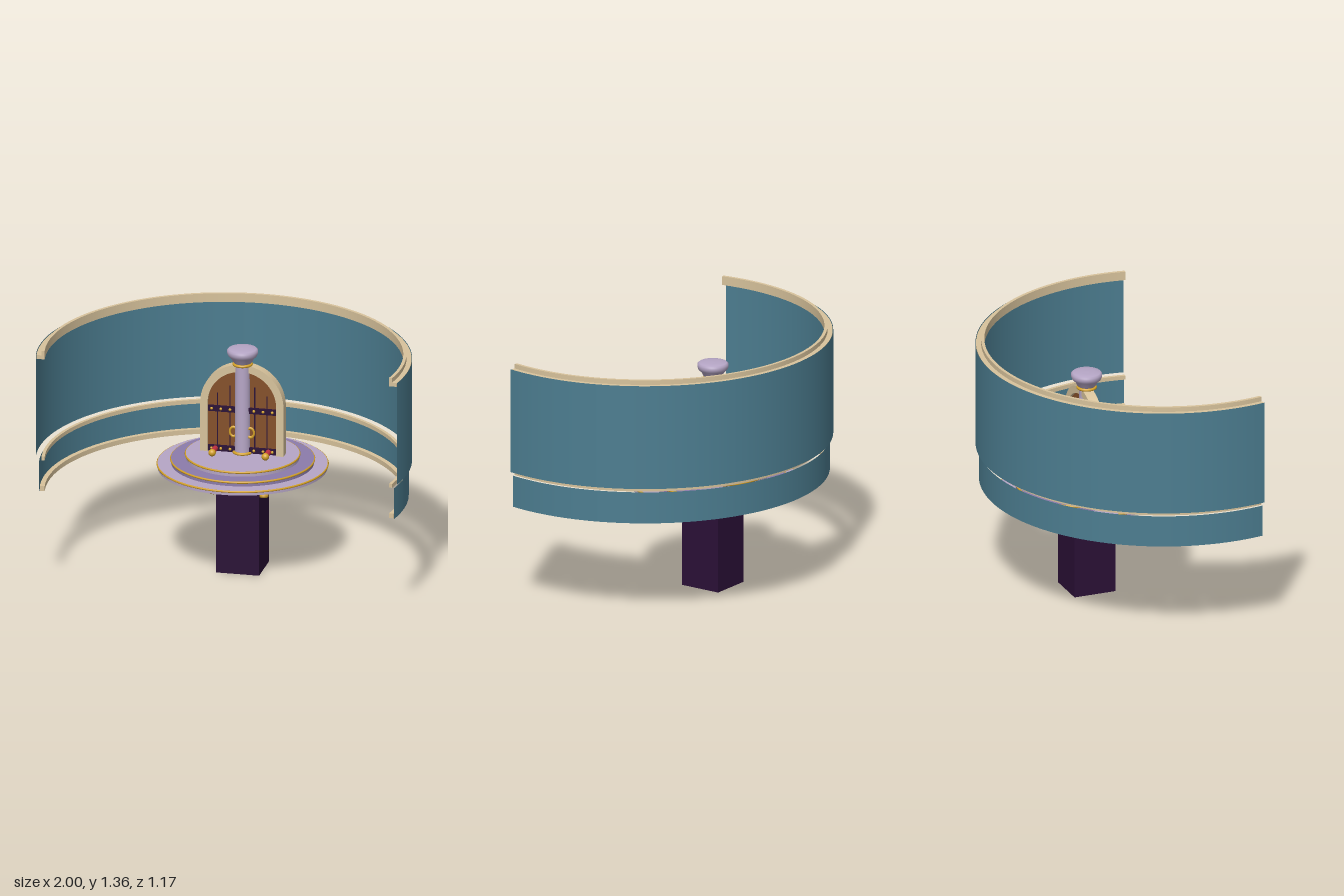
import * as THREE from 'three';

const mat = (name, color, side = THREE.FrontSide) => {
  const m = new THREE.MeshStandardMaterial({ color, side });
  m.name = name;
  return m;
};

export function createModel() {
  const teal = mat('teal', 0x4c7d90, THREE.DoubleSide);
  const cream = mat('cream', 0xd8c39c);
  const lilac = mat('lilac', 0xb6a6c6);
  const purple = mat('purple', 0x8c7cab);
  const gold = mat('gold', 0xd4a128, THREE.DoubleSide);
  const brown = mat('brown', 0x85502a);
  const dark = mat('dark plum', 0x2a1036);
  const red = mat('red', 0xc23040, THREE.DoubleSide);

  const model = new THREE.Group();
  model.name = 'doorPavilion';
  const add = (name, geometry, material, x = 0, y = 0, z = 0) => {
    const mesh = new THREE.Mesh(geometry, material);
    mesh.name = name;
    mesh.position.set(x, y, z);
    model.add(mesh);
    return mesh;
  };
  const box = (name, w, h, d, material, x, y, z) =>
    add(name, new THREE.BoxGeometry(w, h, d), material, x, y, z);
  const lathe = (name, pts, material, x, y, z) =>
    add(name, new THREE.LatheGeometry(pts.map(p => new THREE.Vector2(...p)), 48), material, x, y, z);

  // Curved wall: two open shells, 200 degrees around the back
  const wallZ = 0.413, over = Math.PI / 18, sweep = Math.PI + 2 * over;
  const shell = (name, r, y0, y1) => add(name,
    new THREE.CylinderGeometry(r, r, y1 - y0, 96, 1, true, Math.PI / 2 - over, sweep),
    teal, 0, (y0 + y1) / 2, wallZ);
  shell('upperWall', 1, 0.76, 1.333);
  shell('lowerWall', 0.982, 0.563, 0.736);

  // Cream mouldings follow the same arc
  const moulding = (name, rIn, rOut, y0, y1) => {
    const s = new THREE.Shape();
    s.absarc(0, 0, rOut, -over, Math.PI + over, false);
    s.absarc(0, 0, rIn, Math.PI + over, -over, true);
    const g = new THREE.ExtrudeGeometry(s, { depth: y1 - y0, bevelEnabled: false, curveSegments: 80 });
    g.rotateX(-Math.PI / 2);
    add(name, g, cream, 0, y0, wallZ);
  };
  moulding('topMoulding', 0.953, 0.97, 1.308, 1.356);
  moulding('topLedge', 0.97, 0.997, 1.31, 1.331);
  moulding('middleMoulding', 0.953, 0.97, 0.737, 0.759);
  moulding('bottomMoulding', 0.953, 0.979, 0.566, 0.592);

  // Stepped round platform with gold rims
  const cz = -0.03;
  [[0.452, 0.564, 0.59, lilac], [0.38, 0.59, 0.617, purple], [0.302, 0.617, 0.645, lilac]]
    .forEach(([r, y0, y1, m], i) => {
      add('platformStep' + (i + 1), new THREE.CylinderGeometry(r, r, y1 - y0, 72), m, 0, (y0 + y1) / 2, cz);
      const rim = add('platformRim' + (i + 1), new THREE.TorusGeometry(r, 0.006, 8, 72), gold, 0, y1 - 0.006, cz);
      rim.rotation.x = Math.PI / 2;
    });

  // Square pedestal and the brown frame around its head
  box('pedestal', 0.234, 0.56, 0.234, dark, 0, 0.28, cz);
  for (const s of [-1, 1]) box('frameSide', 0.036, 0.055, 0.24, brown, s * 0.135, 0.535, -0.05);
  box('frameBack', 0.306, 0.055, 0.036, brown, 0, 0.535, -0.16);
  box('frontGoldBar', 0.32, 0.016, 0.014, gold, 0, 0.513, 0.088);

  // Gold turned feet and beads at the frame corners
  const foot = [[0, 0], [0.025, 0], [0.025, 0.012], [0.013, 0.035], [0.015, 0.05], [0.025, 0.065], [0.022, 0.075], [0, 0.075]];
  for (const x of [-0.137, 0.137]) {
    for (const z of [0.063, -0.138]) lathe('goldFoot', foot, gold, x, 0.44, z);
    add('goldBead', new THREE.SphereGeometry(0.014, 16, 12), gold, x * 1.1, 0.513, 0.085);
  }

  // Pennants on a sagging string
  const string = new THREE.QuadraticBezierCurve3(
    new THREE.Vector3(-0.3, 0.565, cz), new THREE.Vector3(0, 0.455, cz), new THREE.Vector3(0.3, 0.565, cz));
  add('pennantString', new THREE.TubeGeometry(string, 24, 0.0025, 6), dark);
  const flag = new THREE.Shape([[-0.018, 0], [0, -0.046], [0.018, 0]].map(p => new THREE.Vector2(...p)));
  [[-0.25, 0.55, red], [-0.197, 0.525, gold], [0.192, 0.525, red], [0.247, 0.55, gold]]
    .forEach(([x, y, m]) => add('pennant', new THREE.ShapeGeometry(flag), m, x, y, cz));

  // Arched door and surround
  const arch = (Path, w, y0, spring) => {
    const p = new Path();
    p.moveTo(-w, y0);
    p.lineTo(w, y0);
    p.lineTo(w, spring);
    p.absarc(0, spring, w, 0, Math.PI, false);
    p.lineTo(-w, y0);
    return p;
  };
  const extrude = (shape, depth) =>
    new THREE.ExtrudeGeometry(shape, { depth, bevelEnabled: false, curveSegments: 32 });
  const surround = arch(THREE.Shape, 0.227, 0.64, 0.918);
  surround.holes.push(arch(THREE.Path, 0.187, 0.641, 0.918));
  add('doorSurround', extrude(surround, 0.056), cream, 0, 0, -0.067);
  add('doorLeaf', extrude(arch(THREE.Shape, 0.188, 0.64, 0.918), 0.03), brown, 0, 0, -0.055);

  // Straps, studs and plank grooves on both faces of the door
  for (const [face, out] of [[-0.025, 1], [-0.055, -1]]) {
    for (const y of [0.888, 0.665]) {
      box('doorStrap', 0.372, 0.032, 0.012, dark, 0, y, face + out * 0.006);
      for (const x of [-0.165, -0.115, -0.065, 0.065, 0.115, 0.165])
        add('strapStud', new THREE.SphereGeometry(0.008, 10, 8), gold, x, y, face + out * 0.012);
    }
    for (const [x, top] of [[0.135, 0.975], [0.068, 1.02]])
      for (const s of [-1, 1])
        box('plankGroove', 0.006, top - 0.645, 0.004, dark, s * x, (top + 0.645) / 2, face + out * 0.001);
  }
  for (const s of [-1, 1]) {
    const ring = add('doorHandle', new THREE.TorusGeometry(0.02, 0.006, 8, 20), gold, s * 0.046, 0.765, -0.014);
    ring.scale.y = 1.3;
  }

  // Column with gold collar and flared capital
  lathe('columnShaft', [[0.045, 0], [0.042, 0.02], [0.04, 0.5]], lilac, 0, 0.645, cz);
  lathe('columnCapital', [[0.04, 0], [0.052, 0.012], [0.06, 0.03], [0.076, 0.045], [0.083, 0.06],
    [0.083, 0.076], [0.074, 0.084], [0.04, 0.088], [0, 0.089]], lilac, 0, 1.148, cz);
  for (const y of [1.146, 0.651]) {
    const collar = add('columnCollar', new THREE.TorusGeometry(0.047, 0.008, 10, 40), gold, 0, y, cz);
    collar.rotation.x = Math.PI / 2;
  }

  // Red floor pegs with gold knobs
  for (const x of [-0.145, 0.145]) {
    const peg = add('redPeg', new THREE.CylinderGeometry(0.015, 0.015, 0.15, 16), red, x, 0.664, -0.02);
    peg.rotation.x = Math.PI / 2;
    add('pegKnob', new THREE.SphereGeometry(0.02, 18, 14), gold, x, 0.665, 0.062);
  }

  // Low chest behind the door
  box('rearChest', 0.3, 0.075, 0.034, brown, 0, 0.682, -0.153);
  box('rearChestPanel', 0.27, 0.06, 0.02, red, 0, 0.68, -0.126);
  for (let i = -2; i <= 2; i++)
    add('chestStud', new THREE.SphereGeometry(0.01, 12, 10), gold, i * 0.065, 0.714, -0.134);

  return model;
}
